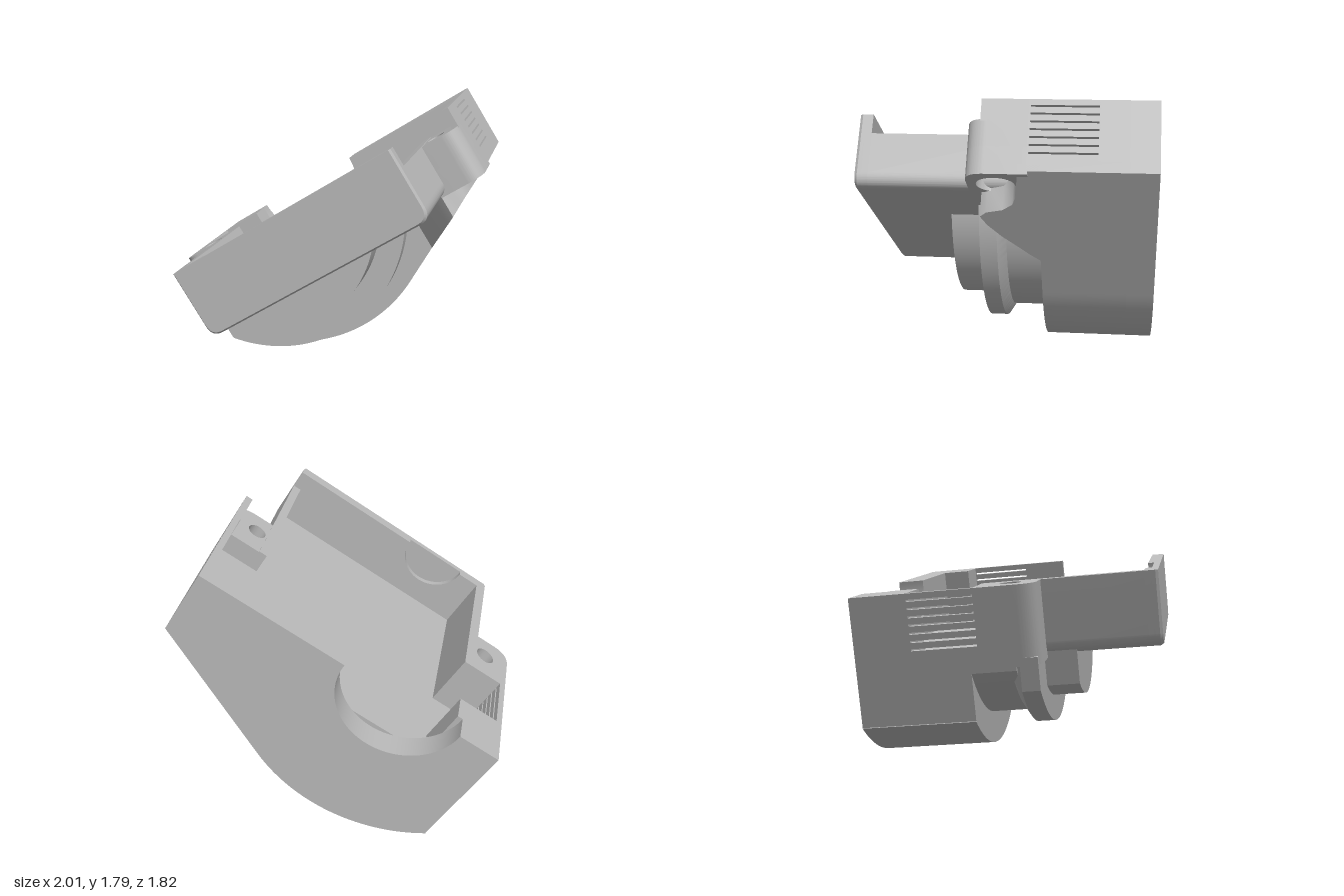
import * as THREE from 'three';
import { toCreasedNormals } from 'three/addons/utils/BufferGeometryUtils.js';

export function createModel() {
  const root = new THREE.Group();
  root.name = 'halfHousing';
  const grey = new THREE.MeshStandardMaterial({ color: 0xb8b8b8 });
  grey.name = 'plain grey';

  // Everything is built level (top rim at y = 0), then tilted as one group.
  const body = new THREE.Group();
  body.name = 'tiltedHousing';
  body.rotation.z = THREE.MathUtils.degToRad(32);
  body.position.set(-0.12, 1.24, 0);
  root.add(body);

  const AXIS = -0.35; // x of the shaft axis, which lies on the rim plane
  const SIDE = 1.04, FLOOR = -0.38;

  const add = (name, geo) => {
    const m = new THREE.Mesh(toCreasedNormals(geo, 0.6), grey);
    m.name = name;
    body.add(m);
  };
  const extrude = (shape, depth) =>
    new THREE.ExtrudeGeometry(shape, { depth, bevelEnabled: false, curveSegments: 32 });
  const slab = (name, shape, z0, z1) => add(name, extrude(shape, z1 - z0).translate(0, 0, z0));
  const box = (name, x0, x1, y0, y1, z0, z1) =>
    add(name, new THREE.BoxGeometry(x1 - x0, y1 - y0, z1 - z0)
      .translate((x0 + x1) / 2, (y0 + y1) / 2, (z0 + z1) / 2));
  // Shape drawn in x and -z, extruded upwards
  const column = (name, shape, y0, y1) =>
    add(name, extrude(shape, y1 - y0).rotateX(-Math.PI / 2).translate(0, y0, 0));

  // Round lower body with a tangent flank, below a given top height
  const bodyShape = (top) => {
    const s = new THREE.Shape();
    s.moveTo(-SIDE, top);
    s.lineTo(-SIDE, -0.786);
    s.absarc(AXIS, 0, 1.05, Math.atan2(-0.786, -0.69), -1.08, false);
    s.lineTo(SIDE, -0.45);
    s.lineTo(SIDE, top);
    return s;
  };
  slab('lowerBody', bodyShape(FLOOR), -0.74, -0.21);

  // Back wall with the half-round shaft opening
  const back = bodyShape(0);
  back.lineTo(AXIS + 0.41, 0);
  back.absarc(AXIS, 0, 0.41, 0, -Math.PI, true);
  back.lineTo(-SIDE, 0);
  slab('backWall', back, -0.91, -0.74);

  // Circular steps under the tray, clipped flat on one side
  const stepShape = (r, left) => {
    const s = new THREE.Shape();
    const y = -0.43;
    s.moveTo(left, y);
    const a = Math.acos((left - AXIS) / r);
    s.absarc(AXIS, 0, r, -a, Math.asin(y / r), false);
    s.lineTo(left, y);
    return s;
  };
  slab('grooveStep', stepShape(0.854, -SIDE), -0.21, 0.06);
  slab('flange', stepShape(0.934, -SIDE), 0.08, 0.19);
  const chamfer = extrude(stepShape(0.934, -SIDE), 0.05).translate(0, 0, 0.03);
  const p = chamfer.attributes.position;
  for (let i = 0; i < p.count; i++) {
    if (p.getZ(i) < 0.05) {
      p.setX(i, AXIS + (p.getX(i) - AXIS) * 0.915);
      p.setY(i, p.getY(i) * 0.915);
    }
  }
  chamfer.computeVertexNormals();
  add('flangeChamfer', chamfer);
  slab('frontStep', stepShape(0.774, -0.77), 0.19, 0.39);

  // Tray: U section with rounded bottom corners and one lowered wall
  const trayOuter = (rightTop) => {
    const s = new THREE.Shape();
    s.moveTo(-0.79, 0);
    s.lineTo(-0.79, -0.38);
    s.quadraticCurveTo(-0.79, -0.46, -0.71, -0.46);
    s.lineTo(0.71, -0.46);
    s.quadraticCurveTo(0.79, -0.46, 0.79, -0.38);
    s.lineTo(0.79, rightTop);
    return s;
  };
  const u = trayOuter(-0.125);
  u.lineTo(0.735, -0.125);
  u.lineTo(0.735, FLOOR);
  u.lineTo(-0.72, FLOOR);
  u.lineTo(-0.72, 0);
  slab('tray', u, -0.16, 0.83);
  box('rearFloor', -SIDE, SIDE, -0.44, FLOOR, -0.74, -0.15);

  // Front wall: recessed half disc on its inner layer
  const inner = trayOuter(0);
  inner.lineTo(AXIS + 0.22, 0);
  inner.absarc(AXIS, 0, 0.22, 0, -Math.PI, true);
  slab('frontWallInner', inner, 0.83, 0.87);
  slab('frontWallOuter', trayOuter(0), 0.87, 0.895);
  // Softened outer front edge
  const edge = extrude(trayOuter(0), 0.017).translate(0, 0, 0.895);
  const q = edge.attributes.position;
  for (let i = 0; i < q.count; i++) {
    if (q.getZ(i) > 0.9) {
      q.setX(i, q.getX(i) * 0.985);
      q.setY(i, q.getY(i) * 0.975);
    }
  }
  edge.computeVertexNormals();
  add('frontWallEdge', edge);

  // Side walls beside the cavity and the slotted vents
  for (const side of [-1, 1]) {
    const span = (a, b) => (side > 0 ? [a, b] : [-b, -a]);
    const tag = side > 0 ? 'left' : 'right';
    box(tag + 'RearCheek', ...span(0.725, SIDE), FLOOR, 0, -0.74, -0.56);
    for (let i = 0; i < 8; i++) {
      const y = FLOOR + i * 0.049;
      box(tag + 'VentBar', ...span(1.0, SIDE), y, y + 0.037, -0.57, -0.15);
    }
  }

  // Screw lugs with bores, rounded at the outer front corner
  const lugShape = (side, inX, r) => {
    const s = new THREE.Shape();
    s.moveTo(side * inX, 0.16);
    s.lineTo(side * SIDE, 0.16);
    s.lineTo(side * SIDE, -0.09);
    s.quadraticCurveTo(side * SIDE, -0.21, side * 0.92, -0.21);
    s.lineTo(side * inX, -0.21);
    const h = new THREE.Path();
    h.absarc(side * 0.862, -0.04, r, 0, Math.PI * 2, false);
    s.holes.push(h);
    return s;
  };
  column('leftLug', lugShape(1, 0.735, 0.06), -0.3, -0.13);
  column('leftLugMouth', lugShape(1, 0.735, 0.115), -0.47, -0.3);
  box('leftLugFin', 0.995, SIDE, -0.14, 0, -0.16, 0.13);
  column('rightLug', lugShape(-1, 0.77, 0.065), -0.48, 0);

  // Fairing sweeping from the flank up to the left lug: [x, front z]
  const rows = [[0.4, -0.21], [0.45, -0.14], [0.5, -0.08], [0.58, 0.02], [0.66, 0.1],
    [0.72, 0.14], [0.75, 0.1], [0.77, 0.0], [0.81, -0.06], [0.87, -0.085], [SIDE, -0.1]];
  const flank = (x) => -0.45 - (SIDE - x) * 0.532;
  const fairing = new THREE.Shape();
  fairing.moveTo(0.4, 0.23);
  fairing.lineTo(SIDE, 0.23);
  for (const [x, z] of rows.slice().reverse()) fairing.lineTo(x, -z);
  const f = extrude(fairing, 1).rotateX(-Math.PI / 2);
  const v = f.attributes.position;
  for (let i = 0; i < v.count; i++) {
    v.setY(i, v.getY(i) > 0.5 ? -0.41 : flank(v.getX(i)));
  }
  f.computeVertexNormals();
  add('sideFairing', f);

  return root;
}
